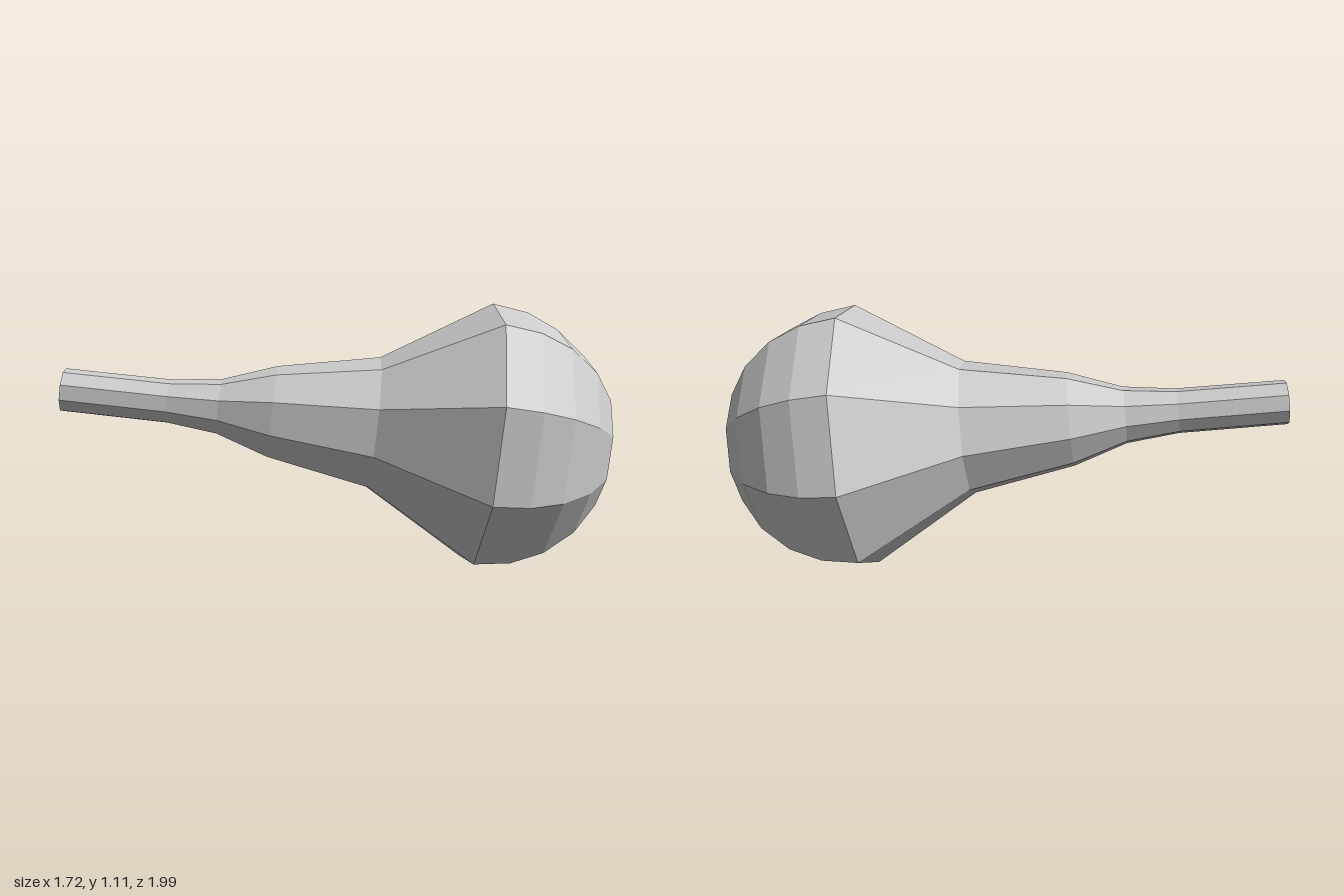
import * as THREE from 'three';

const SIDES = 9;
const BULB_RADIUS = 0.57;

// Points from here on are [distance along the axis, radius]
const NECK = [[0, 0.092], [0.44, 0.094], [0.655, 0.12], [0.88, 0.2], [1.31, 0.286]];
const BULB_START = 1.769;
const DOME_ANGLES = [0, 15.5, 30.5, 47, 63];

export function createModel() {
  const model = new THREE.Group();
  const material = new THREE.MeshStandardMaterial({
    color: 0xcccccc, flatShading: true, side: THREE.DoubleSide,
  });

  // Open neck flaring into a rounded dome, as one profile
  const profile = NECK.map(([t, r]) => new THREE.Vector2(r, t));
  for (const degrees of DOME_ANGLES) {
    const a = THREE.MathUtils.degToRad(degrees);
    profile.push(new THREE.Vector2(
      BULB_RADIUS * Math.cos(a), BULB_START + BULB_RADIUS * Math.sin(a)));
  }
  profile.push(new THREE.Vector2(0, BULB_START + 0.545));

  const flask = new THREE.Mesh(new THREE.LatheGeometry(profile, SIDES), material);
  flask.name = 'flaskBody';

  // Lay the flask along its axis, with one ridge on top
  const mouth = new THREE.Vector3(-0.79, 0.77, 0.94);
  const axis = new THREE.Vector3(0.308, 0.564, -0.432).sub(mouth).normalize();
  const ridge = new THREE.Vector3(-0.048, 0.551, -0.128);
  ridge.addScaledVector(axis, -ridge.dot(axis)).normalize();
  const side = new THREE.Vector3().crossVectors(axis, ridge);
  flask.quaternion.setFromRotationMatrix(new THREE.Matrix4().makeBasis(side, axis, ridge));
  flask.position.copy(mouth);

  model.add(flask);
  return model;
}
